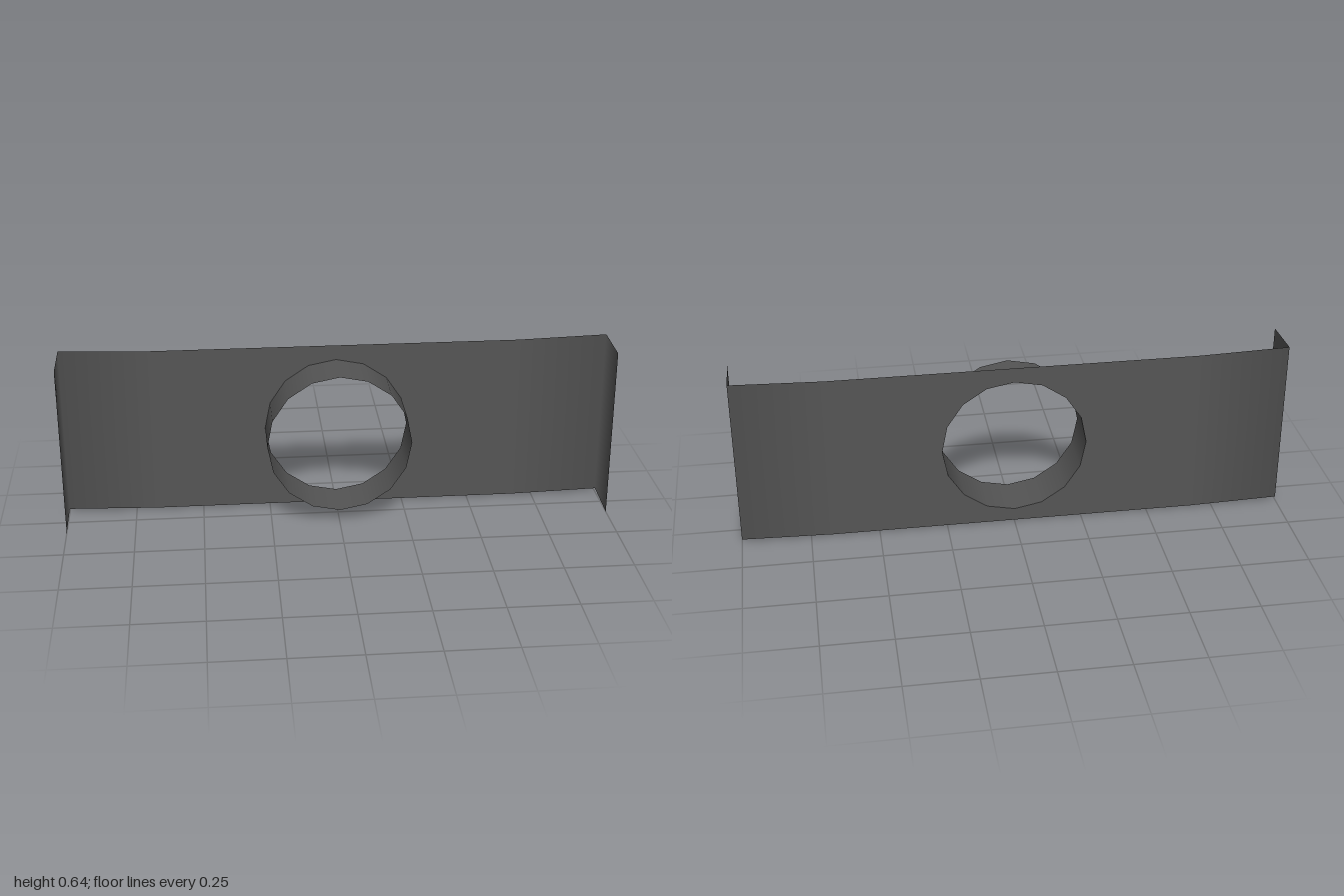
import * as THREE from 'three';

const BACK = -0.0875, FRONT = 0.0875, KINK = 0.67;
const HOLE_Y = 0.315, HOLE_R = 0.263, SIDES = 16;
const LOW = 0.004, HIGH = 0.633;

const material = new THREE.MeshStandardMaterial({ color: 0x555555, side: THREE.DoubleSide });

function part(name, geometry) {
  const mesh = new THREE.Mesh(geometry, material);
  mesh.name = name;
  return mesh;
}

// Flat middle of the plate with the polygonal hole
function platePanel() {
  const shape = new THREE.Shape();
  shape.moveTo(-KINK, LOW).lineTo(KINK, LOW).lineTo(KINK, HIGH).lineTo(-KINK, HIGH).closePath();
  const rim = [];
  for (let i = 0; i < SIDES; i++) {
    const a = -(i / SIDES) * Math.PI * 2;
    rim.push(new THREE.Vector2(HOLE_R * Math.sin(a), HOLE_Y + HOLE_R * Math.cos(a)));
  }
  shape.holes.push(new THREE.Path(rim));
  return new THREE.ShapeGeometry(shape).translate(0, 0, BACK);
}

// End of the plate folding forward into a side flange, shaded smoothly round the bend
function foldedEnd(side) {
  const columns = [ // x, z, bottom, top, angle of the normal from straight ahead
    [KINK, BACK, LOW, HIGH, 0],
    [1, BACK, 0.013, 0.643, Math.PI / 4],
    [1, FRONT, 0, 0.635, Math.PI / 2],
  ];
  const positions = [], normals = [], index = [];
  columns.forEach(([x, z, bottom, top, angle], i) => {
    positions.push(side * x, bottom, z, side * x, top, z);
    const nx = -side * Math.sin(angle), nz = Math.cos(angle);
    normals.push(nx, 0, nz, nx, 0, nz);
    if (i === 0) return;
    const a = 2 * i - 2, b = 2 * i;
    if (side > 0) index.push(a, b, b + 1, a, b + 1, a + 1);
    else index.push(a, b + 1, b, a, a + 1, b + 1);
  });
  const geometry = new THREE.BufferGeometry();
  geometry.setAttribute('position', new THREE.Float32BufferAttribute(positions, 3));
  geometry.setAttribute('normal', new THREE.Float32BufferAttribute(normals, 3));
  geometry.setIndex(index);
  return geometry;
}

export function createModel() {
  const group = new THREE.Group();
  group.name = 'bracketPlate';
  group.add(part('platePanel', platePanel()));
  group.add(part('leftFlange', foldedEnd(1)), part('rightFlange', foldedEnd(-1)));

  // Open collar standing forward from the hole
  const collar = new THREE.CylinderGeometry(HOLE_R, HOLE_R, FRONT - BACK, SIDES, 1, true);
  collar.rotateX(Math.PI / 2).translate(0, HOLE_Y, 0);
  group.add(part('collar', collar));
  return group;
}
